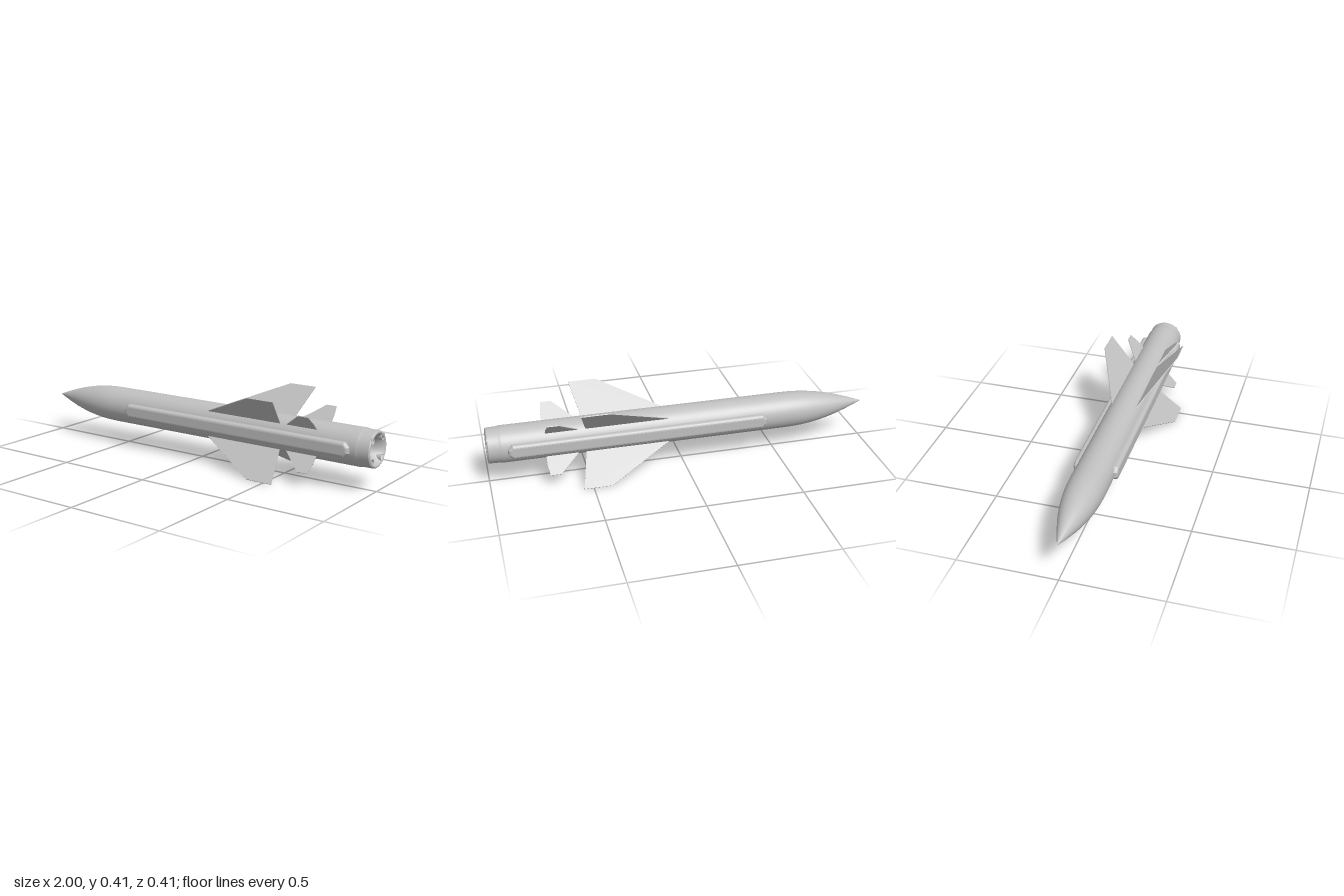
import * as THREE from 'three';

const AXIS_Y = 0.204;

export function createModel() {
  const model = new THREE.Group();
  model.name = 'missile';
  const grey = new THREE.MeshStandardMaterial({ color: 0xc0c0c0 });
  grey.name = 'light grey';

  // Everything is built around the x axis, then lifted to its height
  const missile = new THREE.Group();
  missile.name = 'airframe';
  missile.position.y = AXIS_Y;
  model.add(missile);

  const add = (name, geometry) => {
    const mesh = new THREE.Mesh(geometry, grey);
    mesh.name = name;
    missile.add(mesh);
    return mesh;
  };

  // Surface of revolution about x from [x, radius] pairs, nose to tail
  const turned = (pairs, sides = 64) =>
    new THREE.LatheGeometry(pairs.map(([x, r]) => new THREE.Vector2(r, x)), sides).rotateZ(-Math.PI / 2);

  // Pointed ogive nose and straight hull
  add('noseAndHull', turned([
    [-1, 0], [-0.95, 0.019], [-0.9, 0.036], [-0.85, 0.052], [-0.8, 0.065], [-0.75, 0.076],
    [-0.7, 0.084], [-0.65, 0.09], [-0.6, 0.093], [-0.55, 0.094], [-0.3, 0.094], [0.93, 0.094],
  ]));

  // Slightly narrower tail section
  add('tailSection', turned([[0.93, 0.094], [0.945, 0.091], [0.994, 0.09]]));

  // Rounded rear lip rolling into a funnel
  add('rearLip', turned([
    [0.994, 0.09], [0.999, 0.086], [1, 0.081], [0.997, 0.075], [0.988, 0.067],
    [0.975, 0.059], [0.96, 0.052], [0.94, 0.046],
  ]));

  // Hollow main exhaust bowl
  add('exhaustBowl', turned([
    [0.94, 0.046], [0.928, 0.042], [0.917, 0.033], [0.91, 0.02], [0.907, 0],
  ], 48));

  // Four small nozzles around the exhaust: wall, rim and cupped inside
  for (let i = 0; i < 4; i++) {
    const a = Math.PI / 4 + i * Math.PI / 2;
    const nozzle = new THREE.Group();
    nozzle.name = 'smallNozzle';
    nozzle.position.set(0, Math.sin(a) * 0.073, Math.cos(a) * 0.073);
    const parts = [
      ['nozzleWall', [[0.95, 0.014], [0.998, 0.018]]],
      ['nozzleRim', [[0.998, 0.018], [0.998, 0.0155]]],
      ['nozzleCup', [[0.998, 0.0155], [0.985, 0.013], [0.975, 0.008], [0.972, 0]]],
    ];
    for (const [name, pairs] of parts) nozzle.add(add(name, turned(pairs, 24)));
    missile.add(nozzle);
  }

  // Long side fairings with clipped corners and rounded outer edges
  const bevel = 0.017;
  const x0 = -0.435 + bevel, x1 = 0.9 - bevel, h = 0.037 - bevel, c = 0.012;
  const outline = new THREE.Shape([
    [x0 + c, -h], [x1 - c, -h], [x1, -h + c], [x1, h - c],
    [x1 - c, h], [x0 + c, h], [x0, h - c], [x0, -h + c],
  ].map(([x, y]) => new THREE.Vector2(x, y)));
  const fairing = new THREE.ExtrudeGeometry(outline, {
    depth: 0.02, bevelSize: bevel, bevelThickness: bevel, bevelSegments: 5,
  }).translate(0, 0, 0.113 - bevel - 0.02);
  add('leftFairing', fairing);
  add('rightFairing', fairing.clone().rotateX(Math.PI));

  // Thin fins in an X: [x, distance from axis]
  const fin = (pairs) => new THREE.ExtrudeGeometry(
    new THREE.Shape(pairs.map(([x, r]) => new THREE.Vector2(x, r))),
    { depth: 0.004, bevelEnabled: false },
  ).translate(0, 0, -0.002);
  const wing = fin([[0.07, 0.088], [0.508, 0.088], [0.548, 0.286], [0.405, 0.286]]);
  const tailFin = fin([[0.54, 0.088], [0.712, 0.088], [0.712, 0.14], [0.704, 0.194], [0.65, 0.194]]);
  for (let i = 0; i < 4; i++) {
    const angle = Math.PI / 4 + i * Math.PI / 2;
    add('wing', wing).rotation.x = angle;
    add('tailFin', tailFin).rotation.x = angle;
  }

  return model;
}
